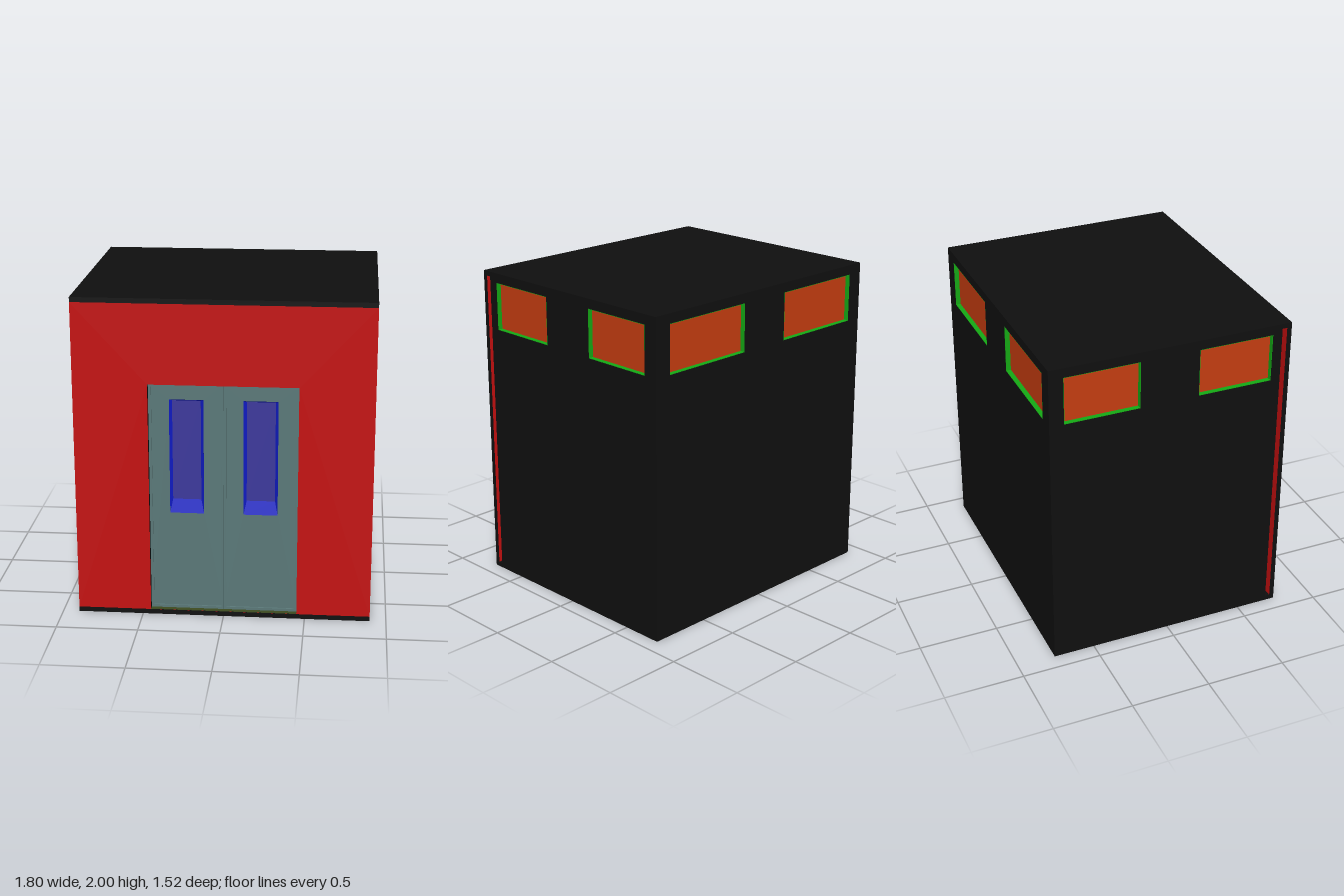
import * as THREE from 'three';

const mat = (color, extra = {}) => Object.assign(new THREE.MeshStandardMaterial({ color }), extra);
const BLACK = mat(0x0f0f0f), RED = mat(0xc41010), STEEL = mat(0x5a7878);
const BLUE = mat(0x101cc8, { side: THREE.DoubleSide, flatShading: true });
const GLASS = mat(0x3c389c), ORANGE = mat(0xc43c10), GREEN = mat(0x14a814), OLIVE = mat(0x3c4a20);

const FLOOR = 0.03, CEILING = 1.97, WALL = 0.06;
const DOOR_TOP = 1.48, DOOR_HALF = 0.45;

function named(name, geometry, material) {
  const mesh = new THREE.Mesh(geometry, material);
  mesh.name = name;
  return mesh;
}

function box(name, w, h, d, x, y, z, material) {
  const mesh = named(name, new THREE.BoxGeometry(w, h, d), material);
  mesh.position.set(x, y, z);
  return mesh;
}

const corners = ([x0, x1, y0, y1]) =>
  [[x0, y0], [x1, y0], [x1, y1], [x0, y1]].map(([x, y]) => new THREE.Vector2(x, y));

// Rectangular plate [x0, x1, y0, y1] with rectangular holes, from z0 to z1
function plate(name, rect, holes, z0, z1, material) {
  const shape = new THREE.Shape(corners(rect));
  for (const hole of holes) shape.holes.push(new THREE.Path(corners(hole)));
  const geometry = new THREE.ExtrudeGeometry(shape, { depth: z1 - z0, bevelEnabled: false });
  geometry.translate(0, 0, z0);
  return named(name, geometry, material);
}

const inset = ([x0, x1, y0, y1], t) => [x0 + t, x1 - t, y0 + t, y1 - t];

// Wall with its outer face at local z = 0 and recessed windows with lined reveals
function windowWall(name, x0, x1, spans) {
  const group = new THREE.Group();
  group.name = name;
  const openings = spans.map(([a, b]) => [a, b, 1.64, 1.94]);
  group.add(plate('wallPanel', [x0, x1, FLOOR, CEILING], openings, -WALL, 0, BLACK));
  for (const o of openings) {
    group.add(plate('windowReveal', o, [inset(o, 0.003)], -0.04, -0.0005, GREEN));
    group.add(plate('windowPane', o, [], -0.045, -0.03, ORANGE));
  }
  return group;
}

// Four sloping faces from an outer rectangle at zo to an inner one at zi
function slopedFrame(outer, inner, zo, zi) {
  const a = corners(outer), b = corners(inner), pos = [];
  for (let i = 0; i < 4; i++) {
    const j = (i + 1) % 4;
    const p = [[a[i], zo], [a[j], zo], [b[j], zi], [b[i], zi]];
    for (const k of [0, 1, 2, 0, 2, 3]) pos.push(p[k][0].x, p[k][0].y, p[k][1]);
  }
  const geometry = new THREE.BufferGeometry();
  geometry.setAttribute('position', new THREE.Float32BufferAttribute(pos, 3));
  geometry.computeVertexNormals();
  return geometry;
}

// Sliding door leaf with raised border and a sunken window; side is +1 or -1
function doorLeaf(side) {
  const group = new THREE.Group();
  group.name = side > 0 ? 'leftDoor' : 'rightDoor';
  const span = (a, b) => (side > 0 ? [a, b] : [-b, -a]);
  const leaf = [...span(0.001, DOOR_HALF), FLOOR, DOOR_TOP];
  const field = [...span(0.016, 0.433), 0.05, 1.46];
  const opening = [...span(0.12, 0.327), 0.66, 1.38];
  const pane = [...span(0.138, 0.31), 0.745, 1.37];
  group.add(plate('doorPanel', leaf, [opening], 0.7, 0.72, STEEL));
  group.add(plate('doorBorder', leaf, [field], 0.72, 0.73, STEEL));
  group.add(named('doorWindowFrame', slopedFrame(opening, pane, 0.7202, 0.702), BLUE));
  group.add(plate('doorWindowPane', pane, [], 0.7, 0.703, GLASS));
  return group;
}

export function createModel() {
  const model = new THREE.Group();
  model.name = 'cabin';

  // Floor and roof slabs
  model.add(box('floor', 1.8, FLOOR, 1.52, 0, FLOOR / 2, 0, BLACK));
  model.add(box('roof', 1.8, 2 - CEILING, 1.52, 0, (2 + CEILING) / 2, 0, BLACK));

  // Side and back walls with high windows
  const left = windowWall('leftWall', -0.7, 0.76, [[-0.64, -0.17], [0.2, 0.67]]);
  left.rotation.y = Math.PI / 2;
  left.position.x = 0.9;
  const right = windowWall('rightWall', -0.76, 0.7, [[0.17, 0.64], [-0.67, -0.2]]);
  right.rotation.y = -Math.PI / 2;
  right.position.x = -0.9;
  const back = windowWall('backWall', -0.84, 0.84, [[-0.79, -0.17], [0.18, 0.8]]);
  back.rotation.y = Math.PI;
  back.position.z = -0.76;
  model.add(left, right, back);

  // Double front wall: the doors slide in the slot between its two layers
  const doorway = [-DOOR_HALF, DOOR_HALF, FLOOR + 0.0005, DOOR_TOP];
  model.add(plate('innerFrontWall', [-0.84, 0.84, FLOOR, CEILING], [doorway], 0.7 - WALL, 0.7, BLACK));
  model.add(plate('outerFrontWall', [-0.9, 0.9, FLOOR, CEILING], [doorway], 0.73, 0.76, [RED, BLACK]));
  model.add(box('threshold', 0.9, 0.004, 0.028, 0, FLOOR + 0.002, 0.745, OLIVE));

  // Pair of sliding doors
  model.add(doorLeaf(1), doorLeaf(-1));
  return model;
}
